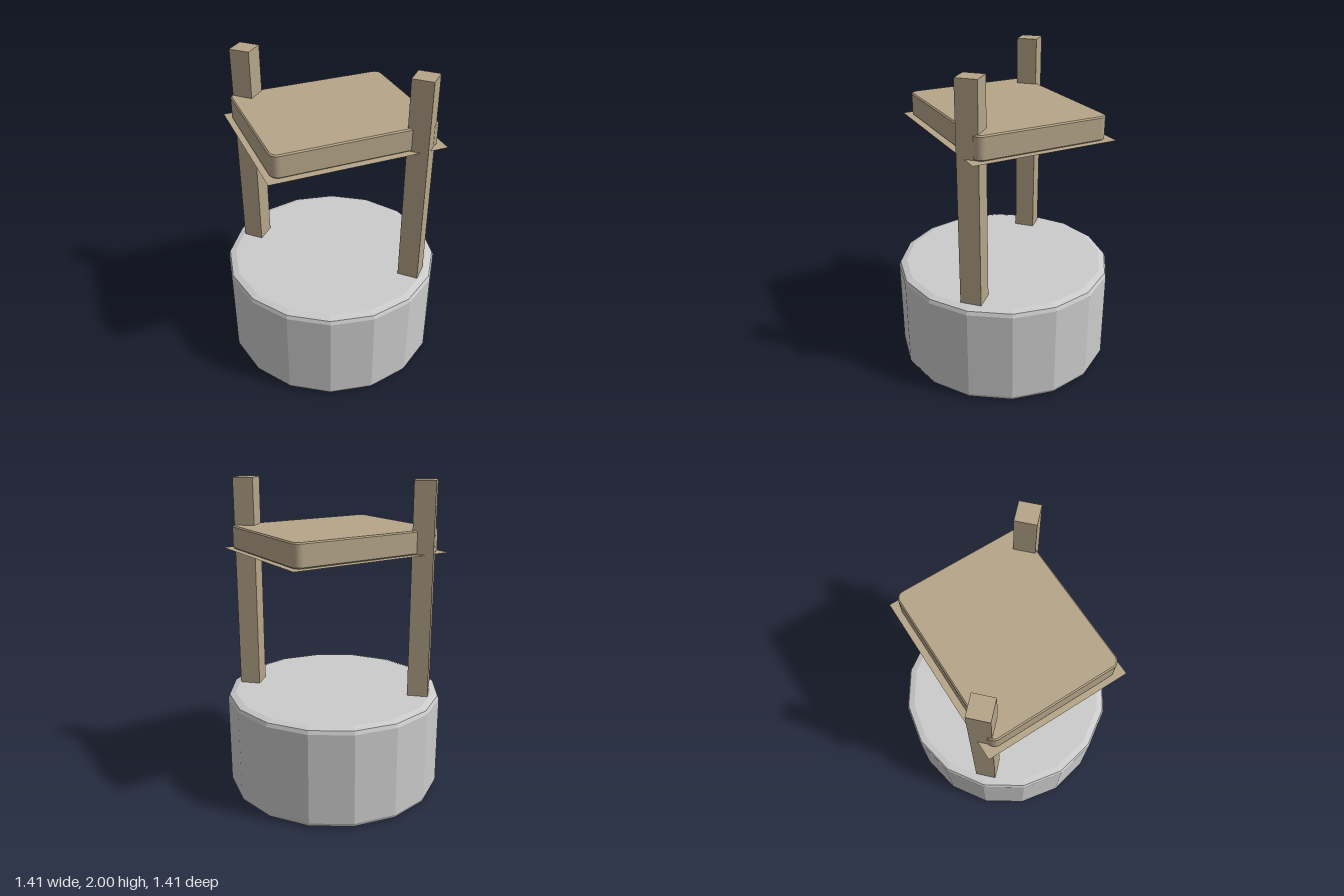
import * as THREE from 'three';

const stone = new THREE.MeshStandardMaterial({ color: 0xcccccc, flatShading: true });
const wood = new THREE.MeshStandardMaterial({ color: 0xb5a589, flatShading: true });
const thinWood = new THREE.MeshStandardMaterial({ color: 0xb5a589, flatShading: true, side: THREE.DoubleSide });

function part(name, geometry, material, parent) {
  const mesh = new THREE.Mesh(geometry, material);
  mesh.name = name;
  parent.add(mesh);
  return mesh;
}

// Rectangle with rounded corners, centred on the origin
function roundedRect(w, h, r) {
  const s = new THREE.Shape();
  const x = w / 2 - r, y = h / 2 - r;
  s.absarc(x, y, r, 0, Math.PI / 2);
  s.absarc(-x, y, r, Math.PI / 2, Math.PI);
  s.absarc(-x, -y, r, Math.PI, Math.PI * 1.5);
  s.absarc(x, -y, r, Math.PI * 1.5, Math.PI * 2);
  s.closePath();
  return s;
}

export function createModel() {
  const model = new THREE.Group();
  model.name = 'well';

  // Sixteen-sided stone drum with softened rims
  const profile = [
    [0, 0], [0.645, 0], [0.685, 0.012], [0.695, 0.035],
    [0.695, 0.615], [0.685, 0.638], [0.645, 0.65], [0, 0.65],
  ].map(([r, y]) => new THREE.Vector2(r, y));
  part('stoneBase', new THREE.LatheGeometry(profile, 16), stone, model);

  // Two square posts standing on the drum
  for (const [side, name] of [[1, 'leftPost'], [-1, 'rightPost']]) {
    const post = part(name, new THREE.BoxGeometry(0.13, 1.36, 0.13), wood, model);
    post.position.set(side * 0.56, 1.32, 0);
  }

  // Roof, turned 45 degrees: a rounded slab on a wider thin sheet
  const roof = new THREE.Group();
  roof.name = 'roof';
  roof.position.y = 1.56;
  roof.rotation.y = Math.PI / 4;
  model.add(roof);

  const bevel = 0.008;
  const slab = new THREE.ExtrudeGeometry(roundedRect(1.02, 0.834, 0.05), {
    depth: 0.145 - 2 * bevel, curveSegments: 4,
    bevelEnabled: true, bevelSize: bevel, bevelOffset: -bevel, bevelThickness: bevel, bevelSegments: 1,
  });
  slab.rotateX(-Math.PI / 2).translate(0, bevel, 0);
  part('roofSlab', slab, wood, roof);
  part('roofSheet', new THREE.PlaneGeometry(1.089, 0.912).rotateX(-Math.PI / 2), thinWood, roof);

  return model;
}
